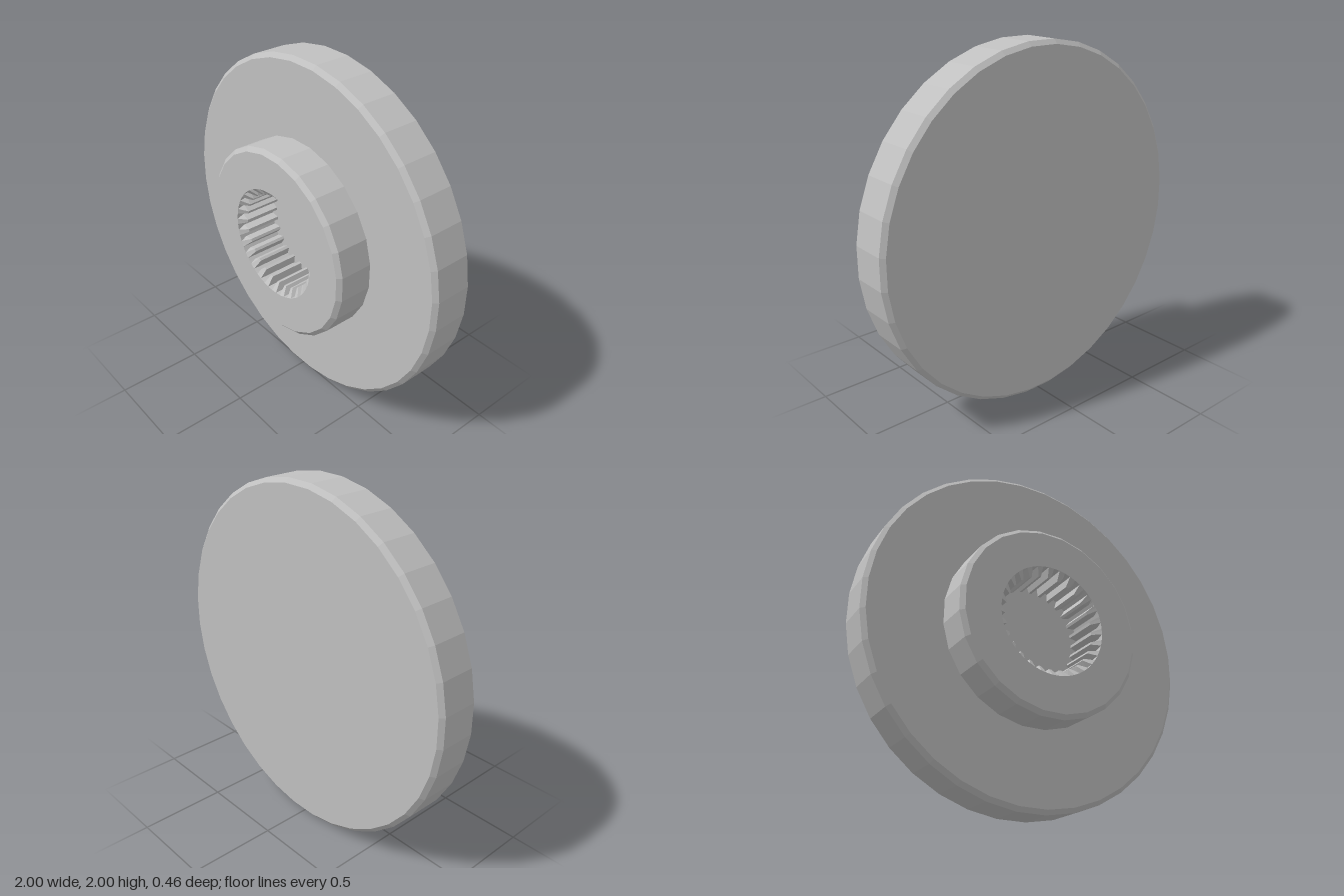
import * as THREE from 'three';

const BACK = -0.23, STEP = 0.02, FRONT = 0.23, FLOOR = -0.02;
const HUB_SIDES = 24, TEETH = 28, ROOT = 0.32, TIP = 0.275;

// Faceted turned part about the z axis; profile is [radius, z] from back to front
function turned(profile, sides) {
  const pts = profile.map(([r, z]) => new THREE.Vector2(r, z));
  return new THREE.LatheGeometry(pts, sides, Math.PI / sides).rotateX(Math.PI / 2);
}

function circlePoints(radius, count, start) {
  return Array.from({ length: count }, (_, i) => {
    const a = start + (i / count) * Math.PI * 2;
    return new THREE.Vector2(Math.cos(a) * radius, Math.sin(a) * radius);
  });
}

// One ring of the bore: per tooth, two root points and two tip points
function boreRing(tip, z) {
  const ring = [];
  for (let t = 0; t < TEETH; t++) {
    for (const [f, r] of [[-0.36, ROOT], [-0.13, tip], [0.13, tip], [0.36, ROOT]]) {
      const a = ((t + f) / TEETH) * Math.PI * 2 + Math.PI / 2;
      ring.push([Math.cos(a) * r, Math.sin(a) * r, z]);
    }
  }
  return ring;
}

// Inward-facing toothed wall, with tooth ends bevelled at the mouth
function boreWall() {
  const rings = [boreRing(ROOT, FRONT), boreRing(TIP, FRONT - 0.04), boreRing(TIP, FLOOR)];
  const n = TEETH * 4, index = [];
  for (let k = 0; k < 2; k++) {
    for (let i = 0; i < n; i++) {
      const a = k * n + i, a1 = k * n + ((i + 1) % n);
      index.push(a, a1, a + n, a1, a1 + n, a + n);
    }
  }
  const g = new THREE.BufferGeometry();
  g.setAttribute('position', new THREE.Float32BufferAttribute(rings.flat(2), 3));
  g.setIndex(index);
  g.computeVertexNormals();
  return g;
}

export function createModel() {
  const model = new THREE.Group();
  model.name = 'splinedFlange';
  const metal = new THREE.MeshStandardMaterial({ color: 0xc0c0c0 });
  metal.name = 'light grey metal';
  metal.flatShading = true;
  const add = (name, geometry) => {
    const mesh = new THREE.Mesh(geometry, metal);
    mesh.name = name;
    mesh.position.y = 1;
    model.add(mesh);
  };

  // Large disc with chamfered rims
  add('disc', turned([
    [0, BACK], [0.978, BACK], [1.003, BACK + 0.022],
    [1.003, STEP - 0.022], [0.978, STEP], [0.5, STEP],
  ], 36));

  // Raised hub, its side and front chamfer
  add('hub', turned([[0.555, STEP], [0.555, FRONT - 0.022], [0.53, FRONT]], HUB_SIDES));

  // Flat hub face around the bore
  const face = new THREE.Shape(circlePoints(0.53, HUB_SIDES, Math.PI / HUB_SIDES));
  const mouth = boreRing(ROOT, FRONT).map(([x, y]) => new THREE.Vector2(x, y));
  face.holes.push(new THREE.Path(mouth));
  add('hubFace', new THREE.ShapeGeometry(face).translate(0, 0, FRONT));

  // Blind bore with internal teeth
  add('boreTeeth', boreWall());
  add('boreFloor', new THREE.CircleGeometry(ROOT, 56).translate(0, 0, FLOOR));

  return model;
}
